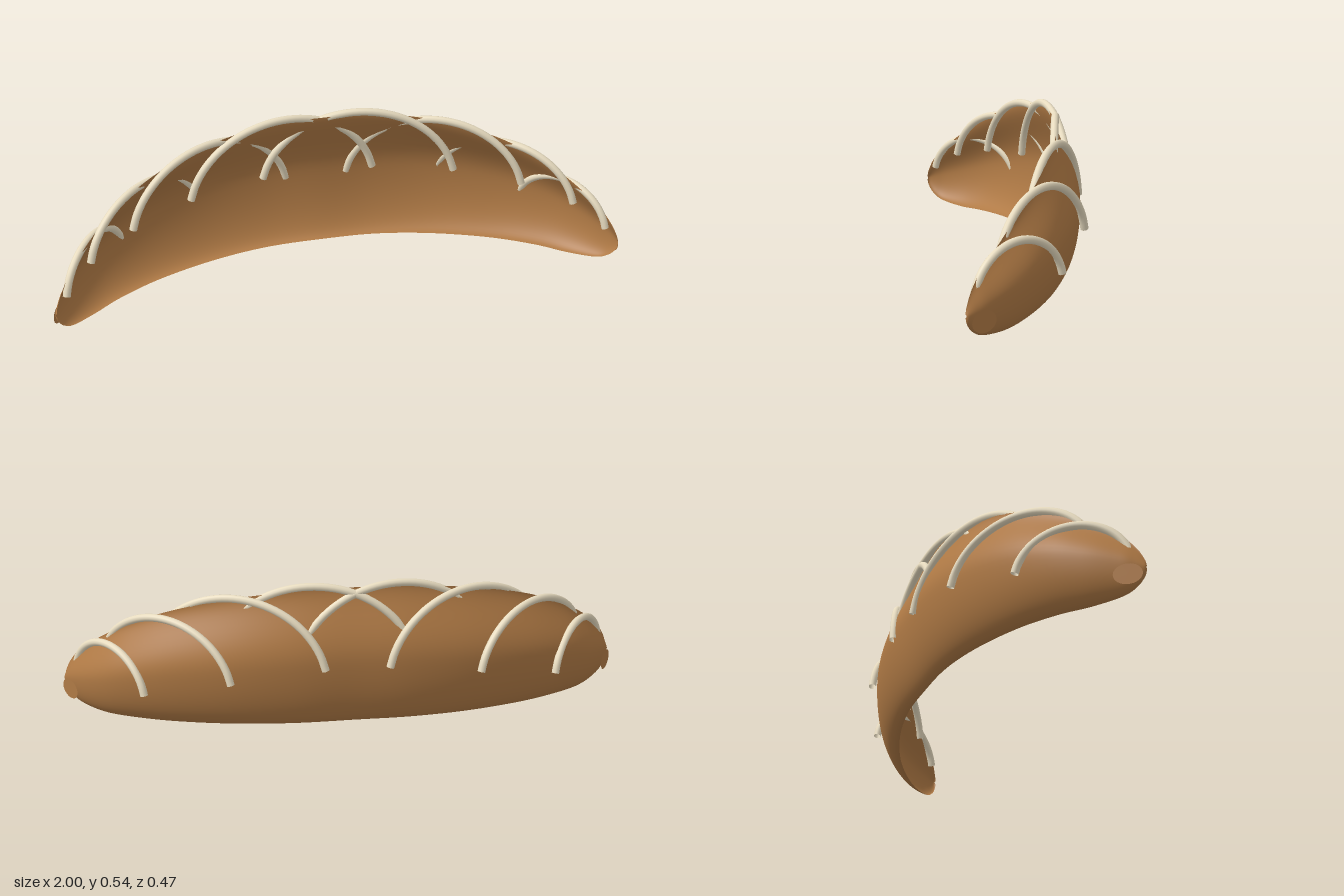
import * as THREE from 'three';

const crust = new THREE.MeshStandardMaterial({ color: 0xb07a45, side: THREE.DoubleSide });
const icing = new THREE.MeshStandardMaterial({ color: 0xe8dcc0, side: THREE.DoubleSide });

// Half-profile stations: x, z of the open edge, top, bottom, backward bulge
const stations = [
  [0, -0.14, 0.52, 0.03, 0.075],
  [0.2, -0.135, 0.513, 0.028, 0.079],
  [0.4, -0.1, 0.485, 0.022, 0.085],
  [0.6, -0.035, 0.43, 0.014, 0.085],
  [0.75, 0.04, 0.36, 0.006, 0.08],
  [0.85, 0.11, 0.29, 0, 0.065],
  [0.93, 0.18, 0.215, 0.01, 0.041],
  [0.965, 0.213, 0.165, 0.032, 0.025],
  [0.985, 0.23, 0.12, 0.06, 0.012],
  [0.99, 0.235, 0.095, 0.083, 0.004],
];

// Curved shell: rounded below, narrowing to a ridge above, bulging backwards from a crescent edge
function bodyGeometry(rings = 100, sides = 32) {
  const mirrored = stations.slice(1).reverse().map(([x, ...rest]) => [-x, ...rest]);
  const all = [...mirrored, ...stations];
  const edge = new THREE.CatmullRomCurve3(all.map(s => new THREE.Vector3(s[0], 0, s[1])), false, 'catmullrom');
  const size = new THREE.CatmullRomCurve3(all.map(s => new THREE.Vector3(s[2], s[3], s[4])), false, 'catmullrom');
  const position = [], index = [];
  for (let i = 0; i <= rings; i++) {
    const p = edge.getPoint(i / rings), t = edge.getTangent(i / rings);
    const { x: top, y: bottom, z: bulge } = size.getPoint(i / rings);
    for (let j = 0; j <= sides; j++) {
      const a = -Math.PI / 2 + Math.PI * j / sides;
      const out = bulge * Math.pow(Math.max(Math.cos(a), 0), a > 0 ? 3.5 : 1.1);
      position.push(p.x + t.z * out,
        (top + bottom) / 2 + (top - bottom) / 2 * Math.sin(a),
        p.z - t.x * out);
      if (i < rings && j < sides) {
        const k = i * (sides + 1) + j, n = k + sides + 1;
        index.push(k, k + 1, n, n, k + 1, n + 1);
      }
    }
  }
  const g = new THREE.BufferGeometry();
  g.setAttribute('position', new THREE.Float32BufferAttribute(position, 3));
  g.setIndex(index);
  g.computeVertexNormals();
  return g;
}

// Arched strand in a vertical plane from the front foot to the back foot
function strandGeometry(x0, z0, x1, z1, foot, peak) {
  const points = [], start = 0.2;
  for (let i = 0; i <= 16; i++) {
    const a = start + (Math.PI - 2 * start) * i / 16;
    const s = (1 - Math.cos(a) / Math.cos(start)) / 2;
    const h = (Math.sin(a) - Math.sin(start)) / (1 - Math.sin(start));
    points.push(new THREE.Vector3(x0 + (x1 - x0) * s, foot + (peak - foot) * h, z0 + (z1 - z0) * s));
  }
  return new THREE.TubeGeometry(new THREE.CatmullRomCurve3(points), 40, 0.0135, 10);
}

// front x, front z, back x, back z, foot height, peak height
const strands = [
  [0.95, 0.205, 0.72, -0.09, 0.14, 0.277],
  [0.855, 0.125, 0.43, -0.2, 0.21, 0.398],
  [0.695, 0.02, 0.11, -0.223, 0.255, 0.484],
  [0.475, -0.09, -0.2, -0.186, 0.282, 0.528],
];

export function createModel() {
  const model = new THREE.Group();
  model.name = 'crescentLoaf';

  const body = new THREE.Mesh(bodyGeometry(), crust);
  body.name = 'body';
  model.add(body);

  for (const side of [1, -1]) {
    const label = side > 0 ? 'left' : 'right';

    // Icing strands
    strands.forEach(([x0, z0, x1, z1, foot, peak], i) => {
      const strand = new THREE.Mesh(strandGeometry(x0 * side, z0, x1 * side, z1, foot, peak), icing);
      strand.name = `${label}Strand${i + 1}`;
      model.add(strand);
    });

    // Flat oval at each tip
    const tip = new THREE.Mesh(new THREE.CircleGeometry(1, 32), crust);
    tip.name = `${label}Tip`;
    tip.scale.set(0.046, 0.035, 1);
    tip.position.set(0.975 * side, 0.065, 0.177);
    tip.rotation.y = 2.14 * side;
    model.add(tip);
  }
  return model;
}
